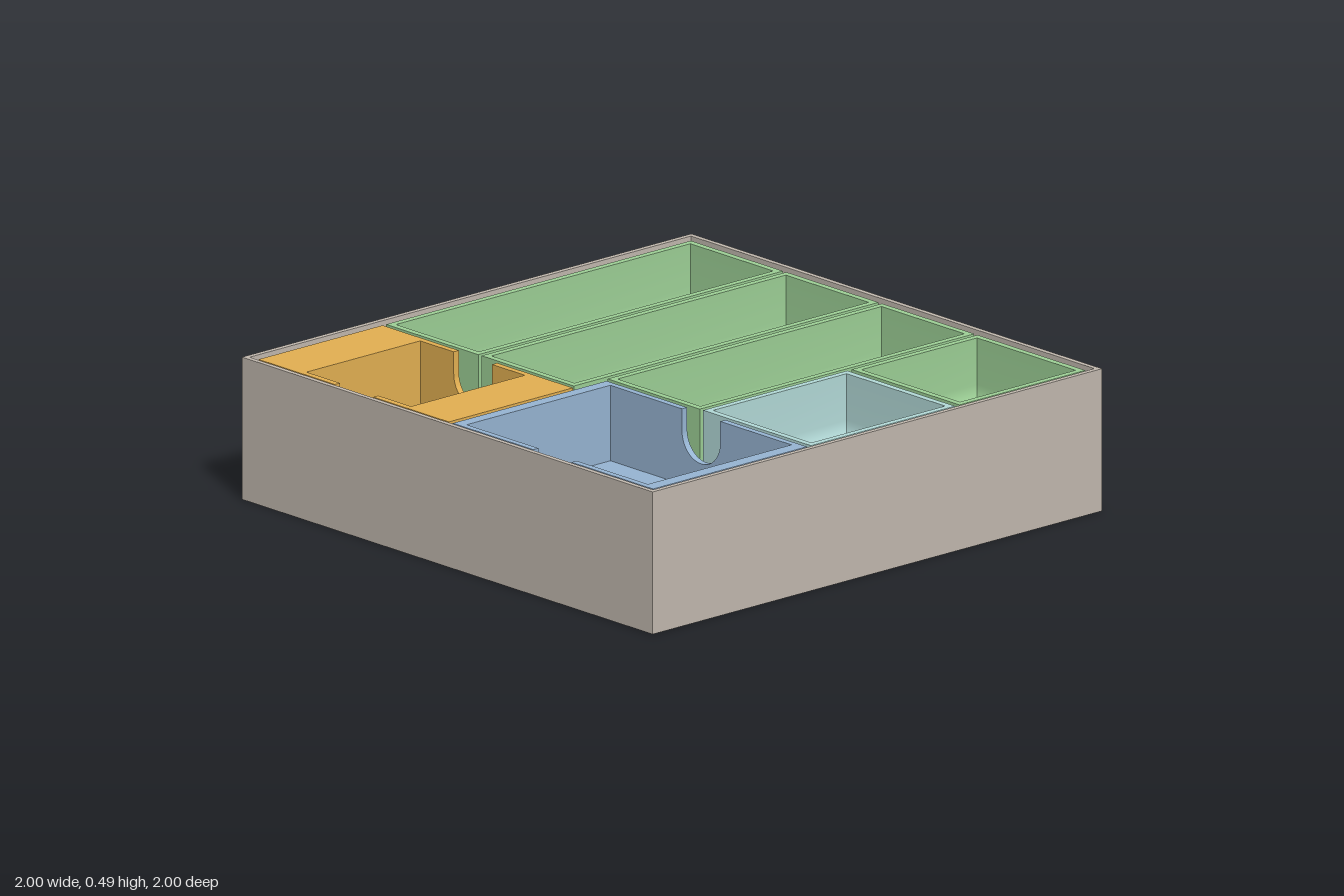
import * as THREE from 'three';
import { toCreasedNormals } from 'three/addons/utils/BufferGeometryUtils.js';

const FLOOR = 0.015, TOP = 0.483, WALL = 0.023;

const paint = (name, color) => {
  const m = new THREE.MeshStandardMaterial({ color });
  m.name = name;
  return m;
};

// Closed rectangular vessel: each ring is [inset x, inset z, y],
// running from the outside bottom, over the rim, to the inside floor.
function vessel([x0, x1, z0, z1], rings) {
  const pos = [];
  const loops = rings.map(([ix, iz, y]) => [
    [x0 + ix, y, z1 - iz], [x1 - ix, y, z1 - iz],
    [x1 - ix, y, z0 + iz], [x0 + ix, y, z0 + iz],
  ]);
  const quad = (a, b, c, d) => pos.push(...a, ...b, ...c, ...a, ...c, ...d);
  for (let r = 0; r < loops.length - 1; r++) {
    for (let i = 0; i < 4; i++) {
      const j = (i + 1) % 4;
      quad(loops[r][i], loops[r][j], loops[r + 1][j], loops[r + 1][i]);
    }
  }
  const s = loops[0], e = loops[loops.length - 1];
  quad(s[3], s[2], s[1], s[0]);
  quad(e[0], e[1], e[2], e[3]);
  const geo = new THREE.BufferGeometry();
  geo.setAttribute('position', new THREE.Float32BufferAttribute(pos, 3));
  geo.computeVertexNormals();
  return toCreasedNormals(geo, 0.5);
}

// Token tray with a rounded transition from walls to floor
function scoopTray(bounds, depth = 0.26, radius = 0.1) {
  const rings = [[0, 0, FLOOR], [0, 0, TOP], [WALL, WALL, TOP]];
  const steps = 10;
  for (let i = 0; i <= steps; i++) {
    const a = (i / steps) * Math.PI / 2;
    const inset = WALL + radius * (1 - Math.cos(a));
    rings.push([inset, inset, TOP - depth + radius * (1 - Math.sin(a))]);
  }
  return vessel(bounds, rings);
}

// Card tray with a U-shaped finger notch in both side walls
function cardTray(name, [x0, x1, z0, z1], [c0, c1], depth, notchZ, material) {
  const group = new THREE.Group();
  group.name = name;
  const add = (part, geo, x, y, z) => {
    const mesh = new THREE.Mesh(geo, material);
    mesh.name = part;
    mesh.position.set(x, y, z);
    group.add(mesh);
  };
  const block = (part, xa, xb, ya, yb, za, zb) => add(part,
    new THREE.BoxGeometry(xb - xa, yb - ya, zb - za), (xa + xb) / 2, (ya + yb) / 2, (za + zb) / 2);

  const floorY = TOP - depth;
  block('trayBase', x0 + WALL, x1 - WALL, FLOOR, floorY, z0, z1);
  block('backBlock', x0 + WALL, x1 - WALL, floorY, TOP, z0, c0);
  block('frontBlock', x0 + WALL, x1 - WALL, floorY, TOP, c1, z1);

  // Side profile is drawn with shape x = -z, then turned to run along z
  const r = 0.093, notchDepth = 0.168;
  const side = new THREE.Shape();
  side.moveTo(-z1, FLOOR);
  side.lineTo(-z0, FLOOR);
  side.lineTo(-z0, TOP);
  side.lineTo(-notchZ + r, TOP);
  side.lineTo(-notchZ + r, TOP - notchDepth + r);
  side.absarc(-notchZ, TOP - notchDepth + r, r, 0, -Math.PI, true);
  side.lineTo(-notchZ - r, TOP);
  side.lineTo(-z1, TOP);
  side.closePath();
  const raw = new THREE.ExtrudeGeometry(side, { depth: WALL, bevelEnabled: false, curveSegments: 20 });
  raw.rotateY(Math.PI / 2);
  const wall = toCreasedNormals(raw, 0.5);
  add('rightWall', wall, x0, 0, 0);
  add('leftWall', wall, x1 - WALL, 0, 0);
  return group;
}

export function createModel() {
  const model = new THREE.Group();
  model.name = 'organizerBox';
  const grey = paint('warmGrey', 0xc2b9af);
  const green = paint('softGreen', 0x9dd096);
  const teal = paint('paleTeal', 0xb3dad8);
  const orange = paint('ochre', 0xe3b052);
  const blue = paint('dustyBlue', 0x97b5d3);

  const add = (name, geo, mat) => {
    const mesh = new THREE.Mesh(geo, mat);
    mesh.name = name;
    model.add(mesh);
  };

  // Open outer box
  add('outerBox', vessel([-1, 1, -1, 1], [
    [0, 0, 0], [0, 0, 0.49], [0.018, 0.018, 0.49], [0.018, 0.018, FLOOR - 0.002],
  ]), grey);

  // Token trays: [x0, x1, z0, z1]
  add('backLongTray', scoopTray([-0.394, 0.962, -0.961, -0.512]), green);
  add('secondLongTray', scoopTray([-0.394, 0.962, -0.496, -0.047]), green);
  add('thirdLongTray', scoopTray([-0.259, 0.962, -0.03, 0.419]), green);
  add('smallTray', scoopTray([0.402, 0.962, 0.435, 0.96]), green);
  add('tealTray', scoopTray([-0.259, 0.382, 0.435, 0.96]), teal);

  // Card trays
  model.add(cardTray('smallCardTray', [-0.962, -0.41, -0.961, -0.034], [-0.752, -0.243], 0.38, -0.496, orange));
  model.add(cardTray('largeCardTray', [-0.962, -0.277, -0.015, 0.96], [0.028, 0.91], 0.26, 0.47, blue));
  return model;
}
